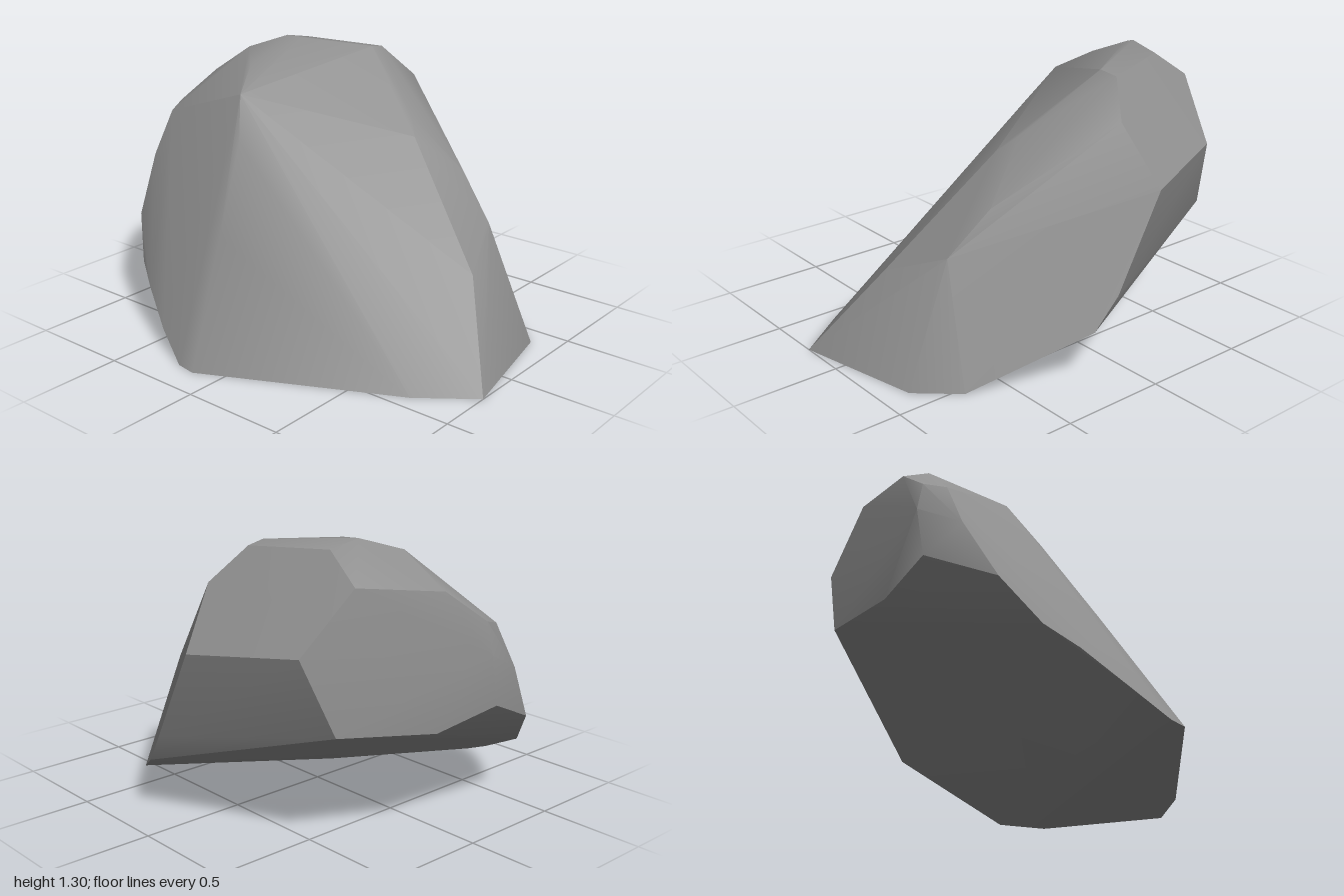
import * as THREE from 'three';
import { ConvexGeometry } from 'three/addons/geometries/ConvexGeometry.js';
import { toCreasedNormals } from 'three/addons/utils/BufferGeometryUtils.js';

const stone = new THREE.MeshStandardMaterial({ color: 0x8f8f8f });
stone.name = 'grey stone';

// Corners of the boulder, grouped by region
const corners = {
  base: [
    [1, 0, 0.23], [0.75, 0, 0.42], [-0.14, 0, 0.855], [-0.24, 0, 0.84],
    [0.13, 0, 0.22], [0.69, 0, -0.54], [0.87, 0, -0.38],
  ],
  underside: [
    [-0.43, 0.09, 0.755], [-0.64, 0.21, 0.64], [-0.78, 0.28, 0.55],
    [-0.92, 0.46, 0.43], [-0.9, 0.51, -0.14], [-0.72, 0.54, -0.55], [0.21, 0.25, -0.83],
  ],
  side: [
    [-1, 0.6, 0.12], [-1, 0.83, 0.08], [-0.96, 0.73, 0.28],
    [-0.965, 0.97, 0.08], [-0.93, 0.94, 0.18],
  ],
  back: [
    [-0.63, 0.88, -0.67], [-0.13, 0.83, -0.86], [0.1, 0.4, -0.855], [-0.06, 1.1, -0.68],
  ],
  slope: [
    [0.75, 0.42, -0.04], [0.63, 0.55, -0.35], [0.44, 0.75, -0.41],
    [0.27, 0.93, -0.24], [0.2, 1, -0.31], [-0.35, 0.91, 0.3], [-0.26, 0.53, 0.535],
  ],
  crown: [
    [-0.15, 1.27, -0.45], [-0.16, 1.255, -0.54], [-0.53, 1.275, -0.41],
    [-0.54, 1.305, -0.26], [-0.46, 1.3, -0.27], [-0.66, 1.255, -0.11],
    [-0.54, 1.2, 0.01], [-0.45, 1.1, 0.18], [-0.88, 1.11, -0.09], [-0.71, 1.15, -0.44],
  ],
};

export function createModel() {
  const group = new THREE.Group();
  group.name = 'rock';
  // Broad chipped facets: soft within a facet, sharp between them
  const points = Object.values(corners).flat().map((p) => new THREE.Vector3(...p));
  const boulder = new THREE.Mesh(toCreasedNormals(new ConvexGeometry(points), 0.6), stone);
  boulder.name = 'boulder';
  group.add(boulder);
  return group;
}
